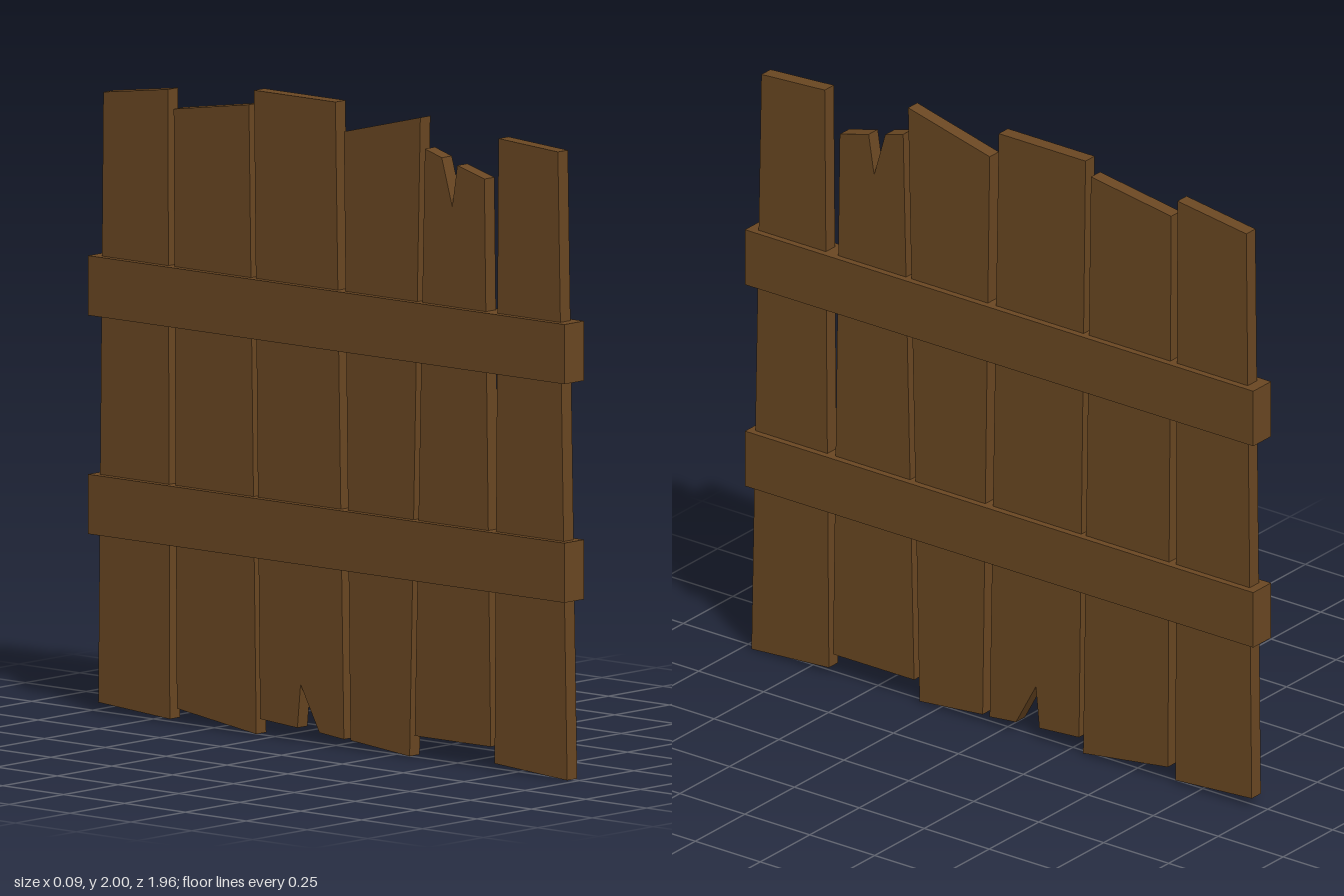
import * as THREE from 'three';

// Plank outlines as [z, y] corners
const PLANKS = [
  [[0.97, 0], [0.672, 0.02], [0.688, 1.96], [0.932, 1.945]],
  // split at the top
  [[0.656, 0.07], [0.344, 0.07], [0.386, 1.895], [0.455, 1.875], [0.498, 1.728], [0.519, 1.858], [0.63, 1.828]],
  [[0.323, 0.004], [0.08, 0.027], [0.053, 1.912], [0.367, 1.99]],
  // split at the bottom
  [[0.053, 0.027], [-0.048, 0.037], [-0.125, 0.178], [-0.138, 0.042], [-0.291, 0.053], [-0.316, 2], [0.018, 2]],
  [[-0.307, 0.004], [-0.633, 0.048], [-0.646, 1.906], [-0.337, 1.953]],
  [[-0.662, 0.012], [-0.956, 0.032], [-0.935, 1.927], [-0.67, 1.964]],
];
const PLANK_THICKNESS = 0.046;

export function createModel() {
  const model = new THREE.Group();
  model.name = 'woodenFence';
  const wood = new THREE.MeshStandardMaterial({ color: 0x6a4722 });
  wood.name = 'brown wood';

  // Upright planks, extruded across the thickness and turned to run along z
  PLANKS.forEach((outline, i) => {
    const shape = new THREE.Shape(outline.map(([z, y]) => new THREE.Vector2(-z, y)));
    const geometry = new THREE.ExtrudeGeometry(shape, { depth: PLANK_THICKNESS, bevelEnabled: false });
    geometry.translate(0, 0, -PLANK_THICKNESS / 2).rotateY(Math.PI / 2);
    const plank = new THREE.Mesh(geometry, wood);
    plank.name = `plank${i + 1}`;
    model.add(plank);
  });

  // Cross rails that wrap both faces of the planks
  for (const [name, y] of [['lowerRail', 0.647], ['upperRail', 1.325]]) {
    const rail = new THREE.Mesh(new THREE.BoxGeometry(0.09, 0.185, 1.957), wood);
    rail.name = name;
    rail.position.y = y;
    model.add(rail);
  }
  return model;
}
